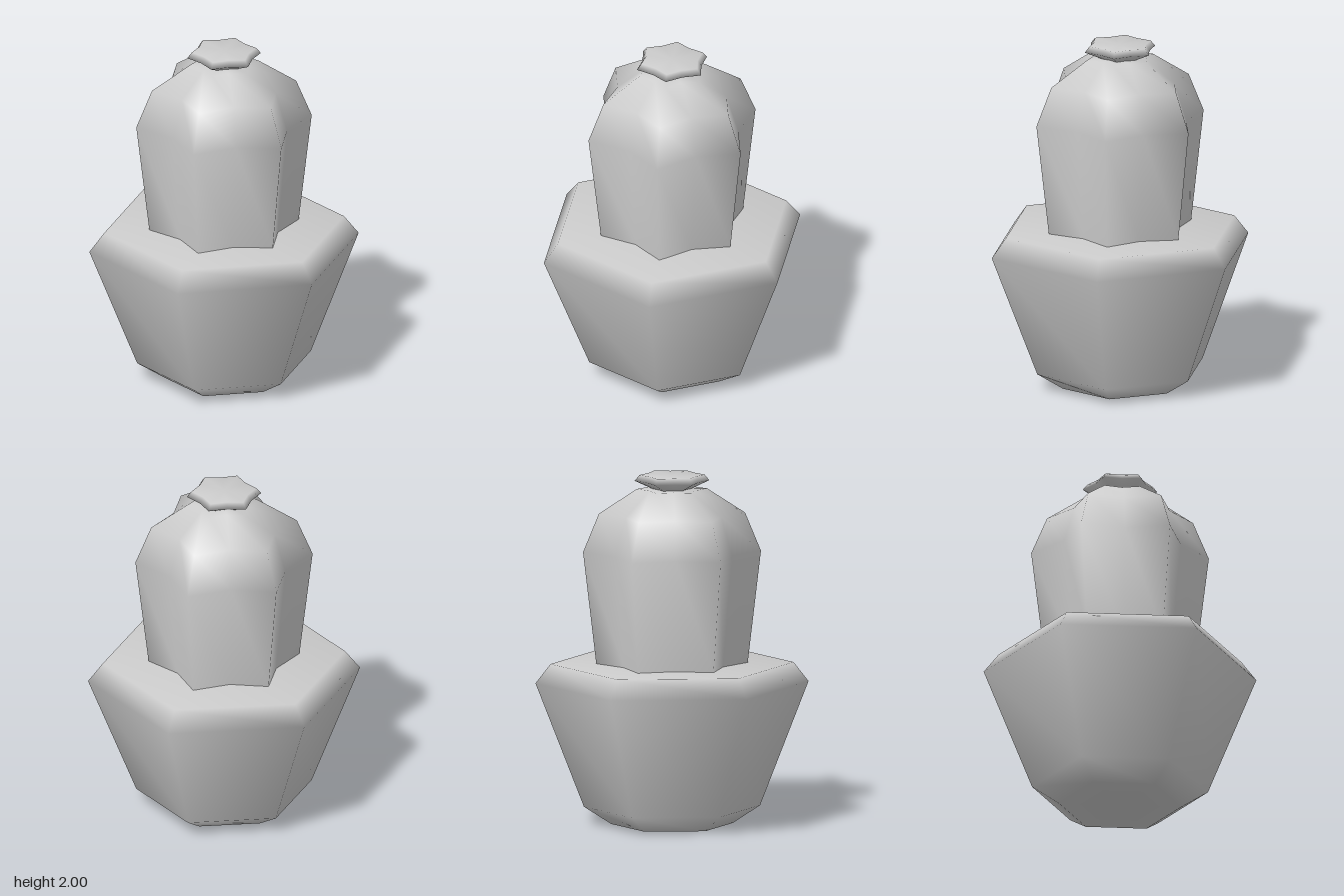
import * as THREE from 'three';
import { mergeVertices } from 'three/addons/utils/BufferGeometryUtils.js';

const material = new THREE.MeshStandardMaterial({ color: 0xcccccc });

// Lofts rings of [radius, height], bottom to top, into a smooth solid.
// Every second corner is pulled in by `inner`, giving a star when below 1.
function loft(name, profile, sides, inner = 1) {
  const positions = [];
  const index = [];
  for (const [r, y] of profile) {
    for (let i = 0; i < sides; i++) {
      const a = (i / sides) * Math.PI * 2;
      const k = i % 2 ? r * inner : r;
      positions.push(k * Math.cos(a), y, k * Math.sin(a));
    }
  }
  for (let j = 0; j < profile.length - 1; j++) {
    for (let i = 0; i < sides; i++) {
      const a = j * sides + i;
      const b = j * sides + ((i + 1) % sides);
      const c = b + sides;
      const d = a + sides;
      if (profile[j + 1][0] > 0) index.push(a, d, c);
      if (profile[j][0] > 0) index.push(a, c, b);
      else continue;
      if (profile[j + 1][0] === 0) continue;
    }
  }
  let geometry = new THREE.BufferGeometry();
  geometry.setAttribute('position', new THREE.Float32BufferAttribute(positions, 3));
  geometry.setIndex(index);
  geometry = mergeVertices(geometry);
  geometry.computeVertexNormals();
  const mesh = new THREE.Mesh(geometry, material);
  mesh.name = name;
  return mesh;
}

export function createModel() {
  const group = new THREE.Group();
  group.name = 'pottedCactus';

  // Six-sided pot with bevelled rim and foot
  group.add(loft('pot', [
    [0, 0], [0.345, 0], [0.5, 0.1], [0.775, 0.81], [0.69, 0.92], [0, 0.92],
  ], 6));

  // Six-ribbed cactus body
  group.add(loft('cactusBody', [
    [0.43, 0.92], [0.505, 1.56], [0.415, 1.78], [0.2, 1.92], [0, 1.92],
  ], 12, 0.755));

  // Six-pointed flower on top
  group.add(loft('flower', [
    [0.11, 1.92], [0.212, 1.967], [0.185, 2], [0, 1.995],
  ], 12, 0.8));

  return group;
}
